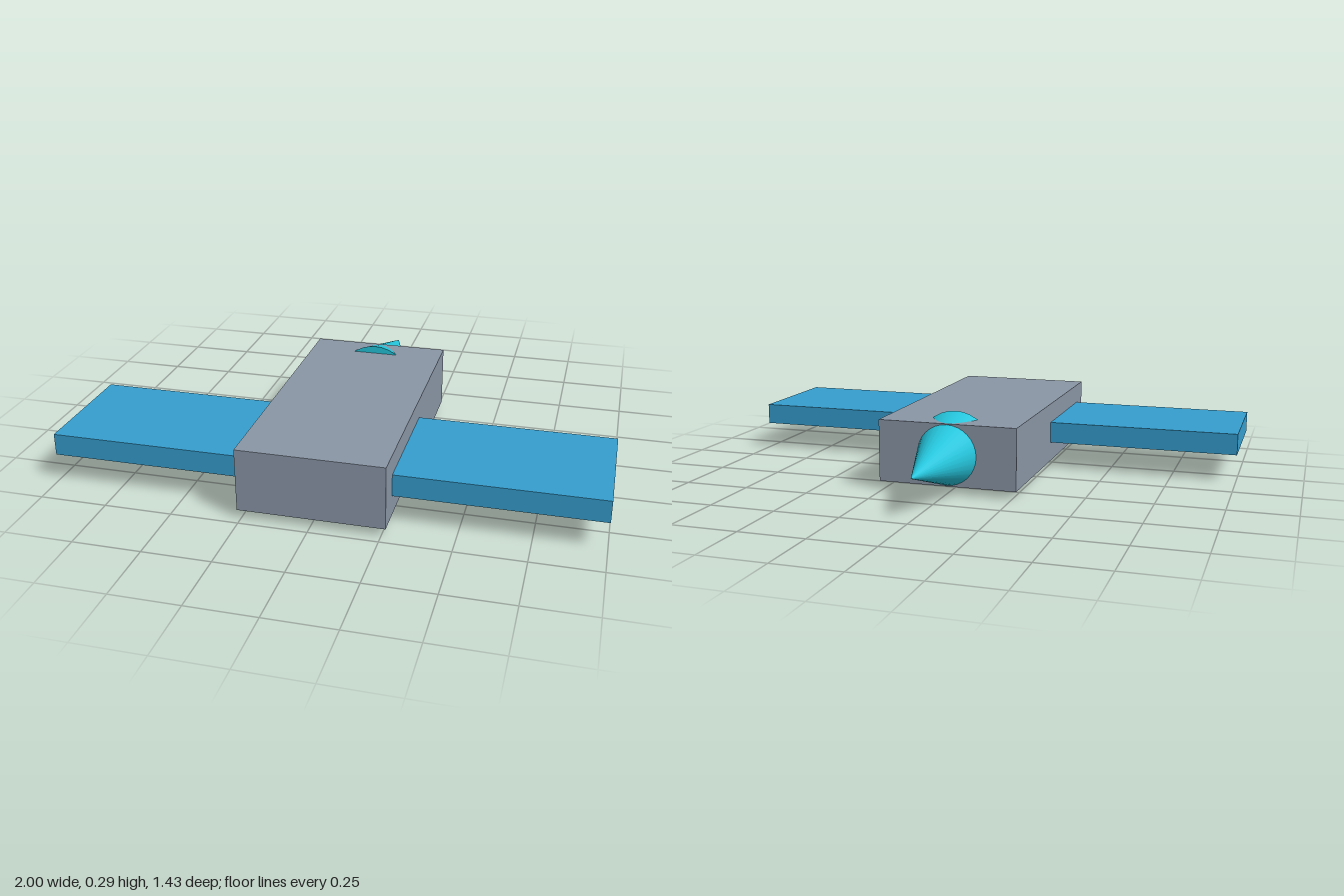
import * as THREE from 'three';

const hull = new THREE.MeshStandardMaterial({ color: 0x8a96a6 });
hull.name = 'hull grey';
const panel = new THREE.MeshStandardMaterial({ color: 0x359dce });
panel.name = 'wing blue';
const tip = new THREE.MeshStandardMaterial({ color: 0x25c5dc });
tip.name = 'nose cyan';

const AXIS_Y = 0.147; // shared centre line of all parts

export function createModel() {
  const model = new THREE.Group();
  model.name = 'winged craft';

  const add = (name, geometry, material, x, z) => {
    const mesh = new THREE.Mesh(geometry, material);
    mesh.name = name;
    mesh.position.set(x, AXIS_Y, z);
    model.add(mesh);
  };

  // Main body block
  add('body', new THREE.BoxGeometry(0.532, 0.235, 1.066), hull, 0, 0.18);

  // Wings, rooted just inside the body
  const span = 0.76;
  for (const [name, side] of [['leftWing', 1], ['rightWing', -1]]) {
    add(name, new THREE.BoxGeometry(span, 0.082, 0.466), panel, side * (1 - span / 2), 0.384);
  }

  // Cone partly sunk into the body, its point facing -z
  const cone = new THREE.ConeGeometry(0.147, 0.463, 32).rotateX(-Math.PI / 2);
  add('noseCone', cone, tip, 0, -0.4815);

  return model;
}
